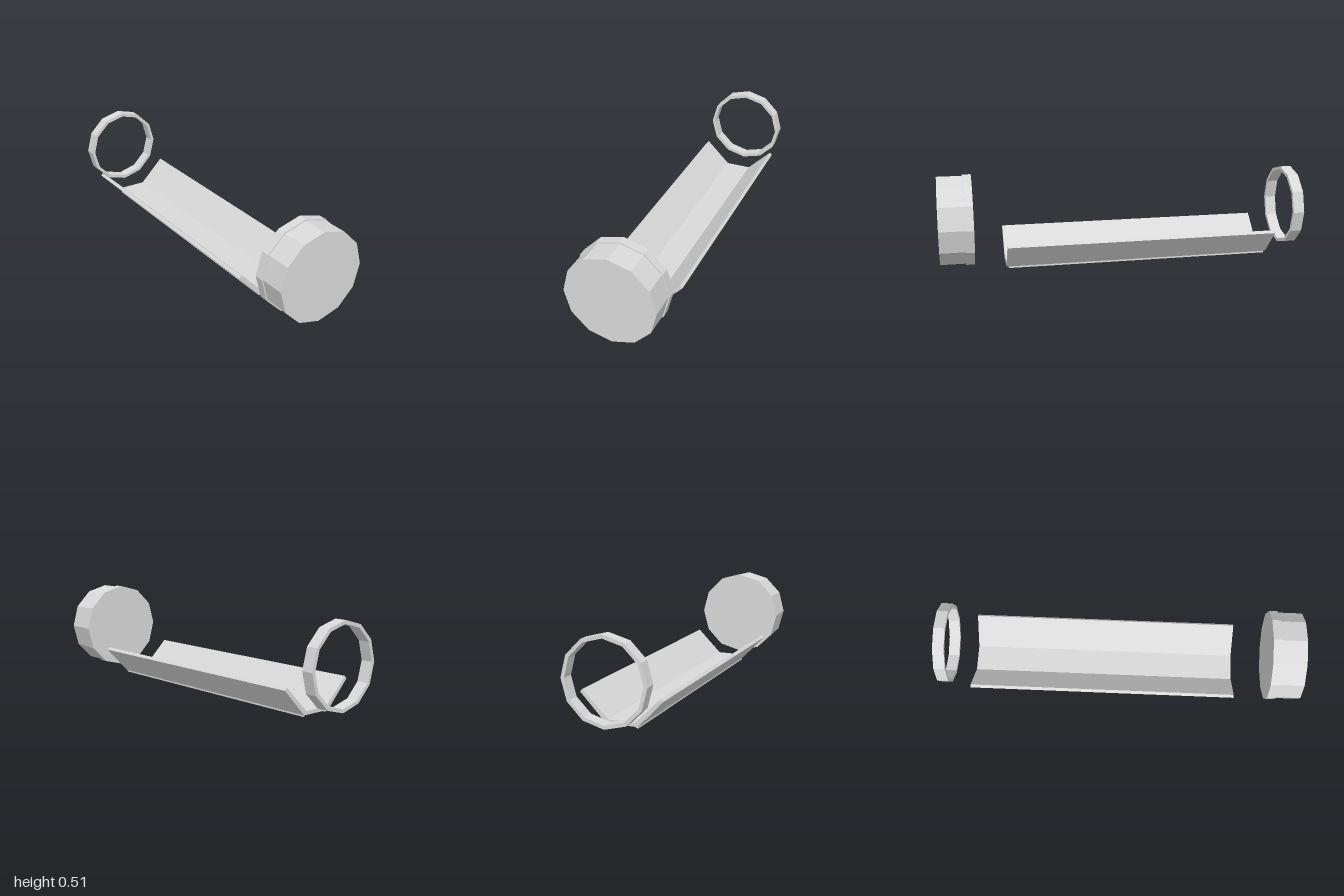
import * as THREE from 'three';

const SIDES = 12;
const AXIS_Y = 0.26;

// Twelve-sided counter-clockwise outline with a corner at the top
function polygon(radius, Type = THREE.Shape) {
  const points = [];
  for (let i = 0; i < SIDES; i++) {
    const a = (i / SIDES) * Math.PI * 2;
    points.push(new THREE.Vector2(-Math.sin(a) * radius, Math.cos(a) * radius));
  }
  return new Type(points);
}

// Extrudes an outline from z0 to z1
function prism(name, shape, z0, z1, y, material) {
  const geometry = new THREE.ExtrudeGeometry(shape, { depth: z1 - z0, bevelEnabled: false });
  const mesh = new THREE.Mesh(geometry, material);
  mesh.name = name;
  mesh.position.set(0, y, z0);
  return mesh;
}

export function createModel() {
  const model = new THREE.Group();
  model.name = 'tubeHolder';
  const grey = new THREE.MeshStandardMaterial({ color: 0xd9d9d9 });
  grey.name = 'lightGrey';

  // Solid end cap with a slightly wider rim
  const cap = new THREE.Group();
  cap.name = 'endCap';
  cap.add(prism('capBody', polygon(0.242), 0.865, 1, AXIS_Y, grey));
  cap.add(prism('capRim', polygon(0.249), 0.818, 0.865, AXIS_Y, grey));
  model.add(cap);

  // Open trough with slanted walls
  const half = [[0.086, 0.009], [0.222, 0.15], [0.209, 0.164], [0.072, 0.028]];
  const outline = [...half, ...half.map(([x, y]) => [-x, y]).reverse()];
  const trough = new THREE.Shape(outline.map(([x, y]) => new THREE.Vector2(x, y)));
  model.add(prism('trough', trough, -0.832, 0.649, 0, grey));

  // Narrow foot along each lower edge, set in slightly from the ends
  for (const side of [-1, 1]) {
    const foot = new THREE.Mesh(new THREE.BoxGeometry(0.013, 0.01, 1.46), grey);
    foot.name = side > 0 ? 'leftFoot' : 'rightFoot';
    foot.position.set(side * 0.0795, 0.005, -0.092);
    model.add(foot);
  }

  // Retaining ring
  const ring = polygon(0.223);
  ring.holes.push(polygon(0.204, THREE.Path));
  model.add(prism('ring', ring, -1, -0.938, AXIS_Y + 0.001, grey));

  return model;
}
